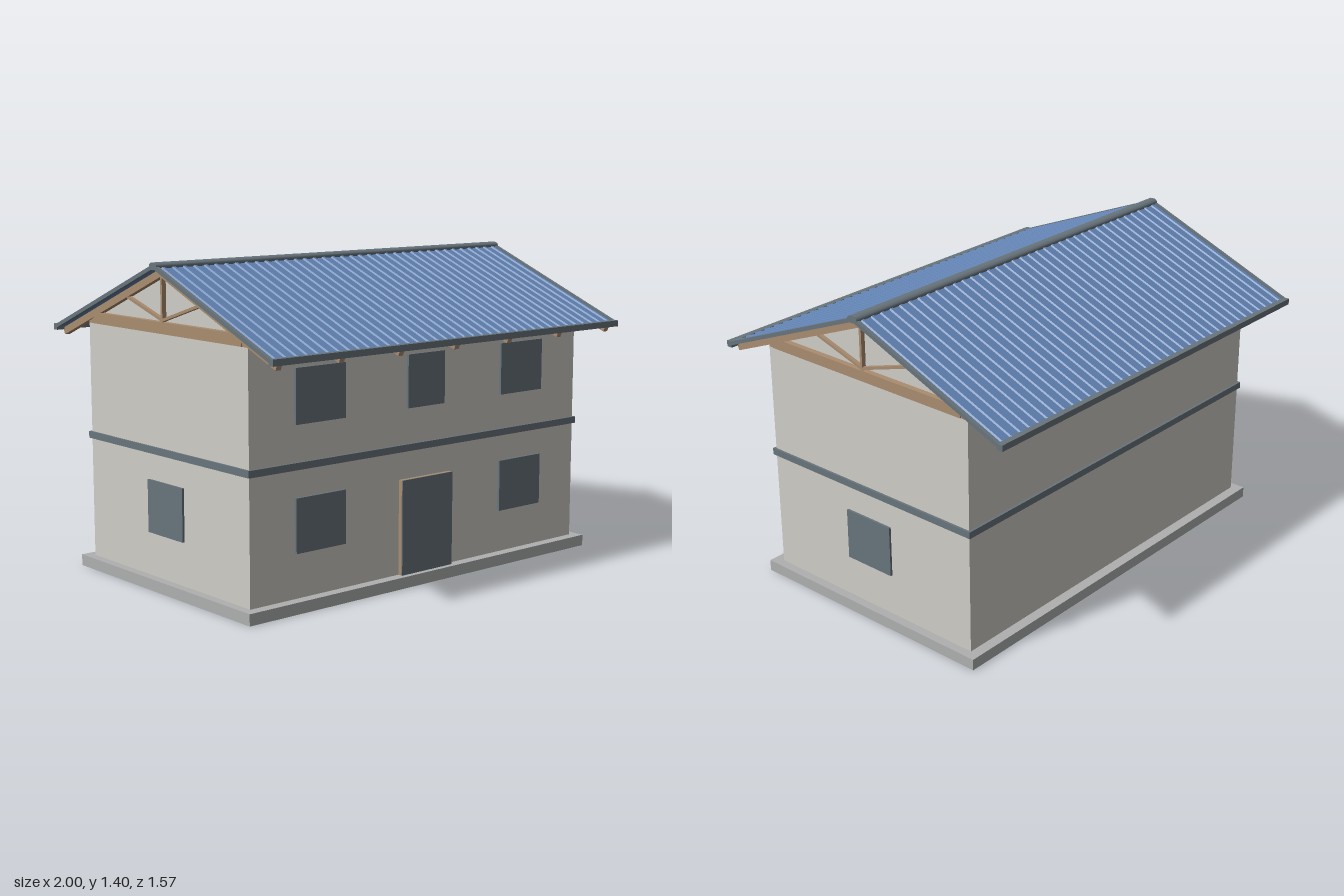
import * as THREE from 'three';

const mat = (name, color, extra = {}) => {
  const m = new THREE.MeshStandardMaterial({ color, ...extra });
  m.name = name;
  return m;
};

export function createModel() {
  const wall = mat('plaster', 0xcfcdc7);
  const slate = mat('slate grey', 0x68747c);
  const concrete = mat('concrete', 0xaeb0af);
  const timber = mat('timber', 0xaa8d70);
  const blue = mat('blue roofing', 0x5f80b0);

  const house = new THREE.Group();
  house.name = 'house';

  // Box given by its minimum and maximum on each axis
  const box = (name, m, [x0, x1], [y0, y1], [z0, z1], parent = house) => {
    const mesh = new THREE.Mesh(new THREE.BoxGeometry(x1 - x0, y1 - y0, z1 - z0), m);
    mesh.position.set((x0 + x1) / 2, (y0 + y1) / 2, (z0 + z1) / 2);
    mesh.name = name;
    parent.add(mesh);
    return mesh;
  };

  // Body
  box('foundation', concrete, [-0.99, 0.99], [0, 0.05], [-0.615, 0.615]);
  box('walls', wall, [-0.95, 0.95], [0.05, 1.1], [-0.567, 0.567]);
  box('floorBand', slate, [-0.96, 0.96], [0.585, 0.615], [-0.578, 0.578]);

  // Front windows and door
  for (const [y0, y1] of [[0.24, 0.47], [0.77, 1.0]]) {
    for (const s of [-1, 1]) {
      box('frontWindow', slate, [s * 0.588 - 0.132, s * 0.588 + 0.132], [y0, y1], [0.56, 0.579]);
    }
  }
  box('middleWindow', slate, [-0.107, 0.107], [0.77, 1.0], [0.56, 0.579]);
  box('doorFrame', timber, [-0.148, 0.148], [0.05, 0.465], [0.56, 0.585]);
  box('doorPanel', slate, [-0.148, 0.148], [0.05, 0.465], [0.585, 0.591]);

  // Side windows
  for (const s of [-1, 1]) {
    box('sideWindow', slate, [s * 0.953 - 0.007, s * 0.953 + 0.007], [0.24, 0.47], [-0.125, 0.125]);
  }

  // Wall plates along the top of the walls
  for (const s of [-1, 1]) {
    box('longPlate', timber, [-0.955, 0.955], [1.1, 1.125], [s * 0.55 - 0.012, s * 0.55 + 0.012]);
    box('endPlate', timber, [s * 0.945 - 0.013, s * 0.945 + 0.013], [1.1, 1.125], [-0.534, 0.534]);
  }

  // Gable panels behind the end trusses
  const gable = new THREE.Shape([
    [-0.56, 1.1], [0.56, 1.1], [0.56, 1.125], [0, 1.355], [-0.56, 1.125],
  ].map(([z, y]) => new THREE.Vector2(z, y)));
  const gableGeo = new THREE.ExtrudeGeometry(gable, { depth: 0.012, bevelEnabled: false });
  gableGeo.rotateY(Math.PI / 2);
  for (const x of [-0.936, 0.924]) {
    const panel = new THREE.Mesh(gableGeo, wall);
    panel.position.x = x;
    panel.name = 'gablePanel';
    house.add(panel);
  }

  // Roof frame values: rafter tops meet at ridgeY
  const pitch = Math.atan(0.406);
  const ridgeY = 1.37;
  const slopeLen = 0.826;
  const trussX = Array.from({ length: 7 }, (_, i) => -0.95 + i * 0.95 / 3);

  // Trusses: tie beam, king post and two struts
  for (const x of trussX) {
    const truss = new THREE.Group();
    truss.name = 'truss';
    truss.position.x = x;
    house.add(truss);
    box('tieBeam', timber, [-0.013, 0.013], [1.125, 1.15], [-0.54, 0.54], truss);
    box('kingPost', timber, [-0.01, 0.01], [1.15, 1.35], [-0.006, 0.006], truss);
    for (const s of [-1, 1]) {
      const dz = 0.275, dy = 0.085;
      const strut = box('strut', timber, [-0.009, 0.009], [-0.006, 0.006],
        [-Math.hypot(dz, dy) / 2, Math.hypot(dz, dy) / 2], truss);
      strut.position.set(0, 1.157 + dy / 2, s * dz / 2);
      strut.rotation.x = -s * Math.atan2(dy, dz);
    }
  }

  // Ribbed sheet cross-section, swept down the slope
  const sheet = new THREE.Shape();
  const half = 0.99, ribs = 37, step = (2 * half) / ribs;
  sheet.moveTo(-half, 0.007);
  sheet.lineTo(half, 0.007);
  sheet.lineTo(half, 0.012);
  for (let i = ribs - 1; i >= 0; i--) {
    const c = -half + (i + 0.5) * step;
    sheet.lineTo(c + 0.011, 0.012);
    sheet.lineTo(c + 0.006, 0.018);
    sheet.lineTo(c - 0.006, 0.018);
    sheet.lineTo(c - 0.011, 0.012);
  }
  sheet.lineTo(-half, 0.012);
  const sheetGeo = new THREE.ExtrudeGeometry(sheet, { depth: slopeLen, bevelEnabled: false });

  // Two matching roof sides
  for (const turn of [0, Math.PI]) {
    const side = new THREE.Group();
    side.name = 'roofSide';
    side.rotation.y = turn;
    house.add(side);

    const slope = new THREE.Group();
    slope.name = 'slope';
    slope.position.y = ridgeY;
    slope.rotation.x = pitch;
    side.add(slope);

    const roofing = new THREE.Mesh(sheetGeo, blue);
    roofing.name = 'roofSheet';
    slope.add(roofing);
    for (const x of trussX) {
      box('rafter', timber, [x - 0.013, x + 0.013], [-0.031, 0], [0, slopeLen], slope);
    }
    for (const s of [-1, 1]) {
      box('edgeTrim', slate, [s * 0.992 - 0.008, s * 0.992 + 0.008], [0.002, 0.019], [0, slopeLen], slope);
    }
    box('fascia', slate, [-1, 1], [1.053, 1.08], [0.758, 0.786], side);
  }

  // Ridge cap
  const capGeo = new THREE.CylinderGeometry(0.027, 0.027, 2, 12);
  capGeo.rotateZ(Math.PI / 2);
  capGeo.scale(1, 0.6, 1);
  const cap = new THREE.Mesh(capGeo, slate);
  cap.position.y = 1.382;
  cap.name = 'ridgeCap';
  house.add(cap);

  return house;
}
